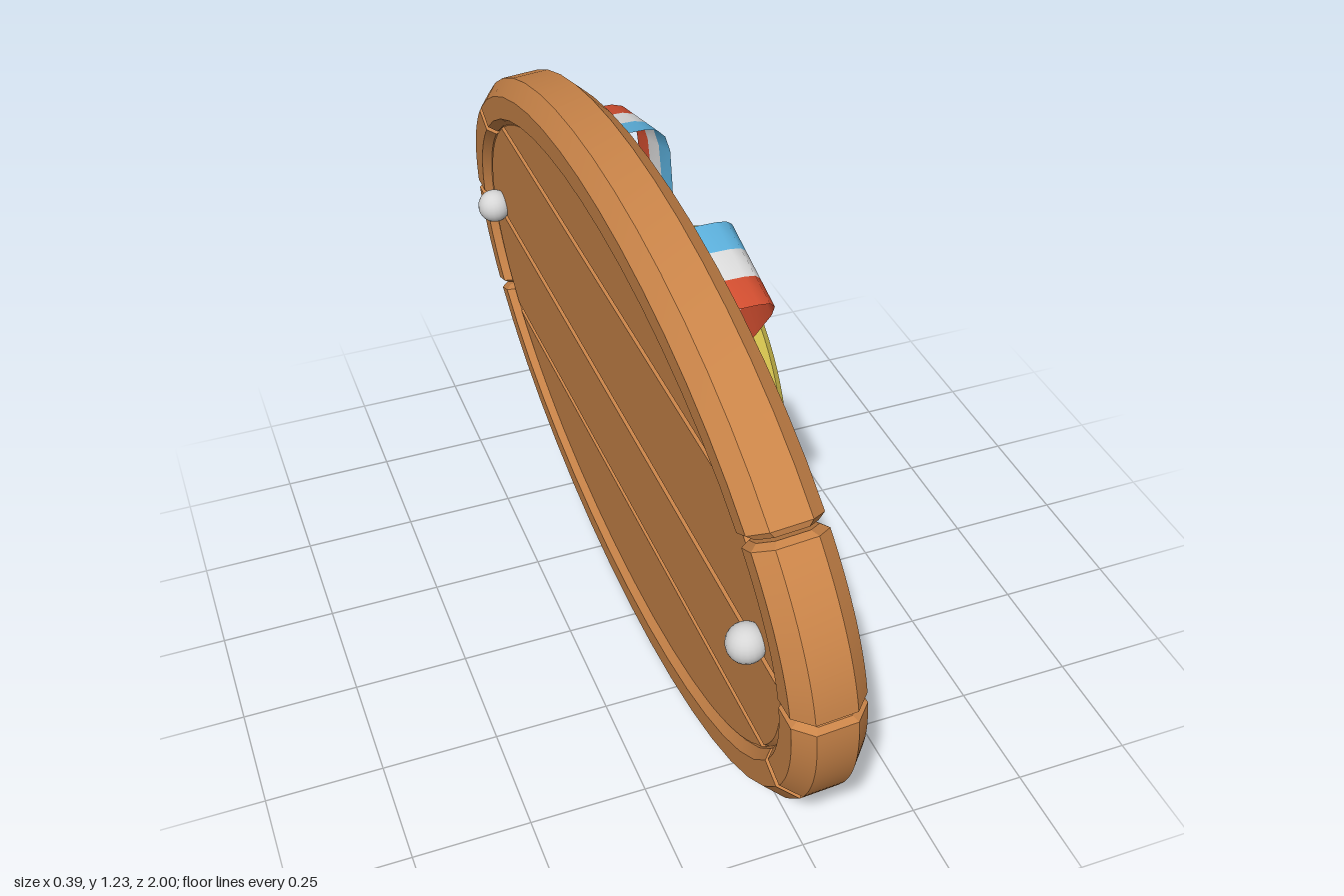
import * as THREE from 'three';
import { toCreasedNormals } from 'three/addons/utils/BufferGeometryUtils.js';

const paint = (name, color, side = THREE.FrontSide) => {
  const m = new THREE.MeshStandardMaterial({ color, side });
  m.name = name;
  return m;
};

export function createModel() {
  const wood = paint('wood', 0xcb8549);
  const gold = paint('gold', 0xd4c24e);
  const tan = paint('tan', 0xcfae68);
  const brown = paint('brown', 0x8a5032);
  const silver = paint('silver', 0xd6d6d6);
  const red = paint('ribbon red', 0xd24e30, THREE.DoubleSide);
  const white = paint('ribbon white', 0xdcdcdc, THREE.DoubleSide);
  const blue = paint('ribbon blue', 0x5cb0dc, THREE.DoubleSide);

  // Everything is built facing +z, then the whole group is turned to face +x
  const model = new THREE.Group();
  model.name = 'medalPlaque';
  const board = new THREE.Group();
  board.name = 'board';
  const medal = new THREE.Group();
  medal.name = 'medal';
  model.add(board, medal);

  const add = (parent, name, geo, mat, x = 0, y = 0, z = 0) => {
    const mesh = new THREE.Mesh(geo, mat);
    mesh.name = name;
    mesh.position.set(x, y, z);
    parent.add(mesh);
    return mesh;
  };
  const fromTriangles = (points, crease = 0.6) => {
    const g = new THREE.BufferGeometry().setFromPoints(points);
    return toCreasedNormals(g, crease);
  };

  // ---- Oval board, leaning back ----
  const CY = 0.618, A = 1, B = 0.615, PA = 0.887, PB = 0.522;
  board.position.set(0, CY, -0.075);
  board.rotation.x = -0.077;
  const seams = [-0.243, 0.025, 0.333];

  // Rim segment: a chamfered section swept along the ellipse, tightened at its ends
  const section = [[0, -0.04], [0, 0.04], [0.035, 0.073], [0.088, 0.073], [0.105, 0.055],
    [0.105, -0.055], [0.088, -0.073], [0.035, -0.073]];
  function rimSegment(t0, t1) {
    const e = 0.004, steps = 16;
    const angles = [[t0 + e, 0.8]];
    for (let i = 0; i <= steps; i++) angles.push([t0 + 0.02 + (t1 - t0 - 0.04) * i / steps, 1]);
    angles.push([t1 - e, 0.8]);
    const rings = angles.map(([t, k]) => section.map(([d, n]) => {
      const dd = 0.052 + (d - 0.052) * k;
      return new THREE.Vector3((A - dd) * Math.cos(t), (B - dd) * Math.sin(t), n * k);
    }));
    const tris = [], S = section.length, last = rings[rings.length - 1];
    for (let i = 0; i < rings.length - 1; i++) for (let j = 0; j < S; j++) {
      const a = rings[i][j], b = rings[i][(j + 1) % S];
      const c = rings[i + 1][j], d = rings[i + 1][(j + 1) % S];
      tris.push(a, c, b, b, c, d);
    }
    for (let j = 1; j < S - 1; j++) {
      tris.push(rings[0][0], rings[0][j], rings[0][j + 1]);
      tris.push(last[0], last[j + 1], last[j]);
    }
    return fromTriangles(tris, 0.4);
  }
  const right = seams.map(y => Math.asin(y / B));
  const cuts = [...right, ...right.map(t => Math.PI - t).reverse()];
  cuts.push(cuts[0] + Math.PI * 2);
  for (let i = 0; i < 6; i++) add(board, 'rimSegment', rimSegment(cuts[i], cuts[i + 1]), wood);

  // Planks with bevelled edges over a thinner core
  const core = new THREE.CylinderGeometry(1, 1, 0.08, 64).rotateX(Math.PI / 2).scale(0.91, 0.545, 1);
  add(board, 'boardCore', core, wood);
  const edges = [-PB, ...seams, PB];
  for (let i = 0; i < 4; i++) {
    const lim = Math.PI / 2 - 0.03;
    const angle = y => Math.max(-lim, Math.min(lim, Math.asin(Math.max(-1, Math.min(1, y / PB)))));
    const t0 = angle(edges[i] + 0.004), t1 = angle(edges[i + 1] - 0.004);
    const side = [];
    for (let k = 0; k <= 16; k++) {
      const t = t0 + (t1 - t0) * k / 16;
      side.push(new THREE.Vector2(PA * Math.cos(t), PB * Math.sin(t)));
    }
    const outline = [...side, ...side.map(p => new THREE.Vector2(-p.x, p.y)).reverse()];
    const geo = new THREE.ExtrudeGeometry(new THREE.Shape(outline), {
      depth: 0.09, bevelThickness: 0.012, bevelSize: 0.007, bevelOffset: -0.007, bevelSegments: 1 });
    add(board, 'plank', geo, wood, 0, 0, -0.045);
  }

  // Round nails on both faces
  for (const x of [-0.79, 0.79]) for (const z of [-0.08, 0.08])
    add(board, 'nail', new THREE.SphereGeometry(0.039, 20, 14), silver, x, 0.06, z);

  // Name plate with two bolts
  const w = 0.41, h = 0.066, r = 0.035;
  const plate = new THREE.Shape();
  plate.moveTo(-w + r, -h).lineTo(w - r, -h).quadraticCurveTo(w, -h, w, -h + r)
    .lineTo(w, h - r).quadraticCurveTo(w, h, w - r, h)
    .lineTo(-w + r, h).quadraticCurveTo(-w, h, -w, h - r)
    .lineTo(-w, -h + r).quadraticCurveTo(-w, -h, -w + r, -h);
  const plateGeo = new THREE.ExtrudeGeometry(plate, {
    depth: 0.06, bevelThickness: 0.01, bevelSize: 0.01, bevelSegments: 2, curveSegments: 6 });
  add(board, 'namePlate', plateGeo, [tan, wood], 0, -0.39, 0.048);
  for (const x of [-0.345, 0.345])
    add(board, 'plateBolt', new THREE.SphereGeometry(0.035, 18, 12), brown, x, -0.39, 0.118);

  // Red cloth behind the ribbon
  const cloth = new THREE.Shape([[-0.1, 0.97], [0.1, 0.97], [0.36, 1.08], [0.19, 1.15], [-0.19, 1.15], [-0.36, 1.08]]
    .map(([x, y]) => new THREE.Vector2(x, y - CY)));
  add(board, 'ribbonBacking', new THREE.ExtrudeGeometry(cloth, { depth: 0.009, bevelEnabled: false }), red, 0, 0, 0.06);

  // ---- Striped ribbon: two mirrored bands folding over at the top ----
  const path = [[0.02, -0.055], [0, -0.03], [0, 0.015], [0.015, 0.038], [0.06, 0.053],
    [0.15, 0.058], [0.35, 0.05], [0.6, 0.038], [1, 0.015]];
  const mix = (a, b, t) => a + (b - a) * t;
  function ribbonStripe(s0, s1, m) {
    const at = (s, [t, z]) => new THREE.Vector3(
      m * mix(mix(0.405, 0.19, s), mix(0.148, 0.02, s), t),
      mix(mix(1.105, 1.155, s), mix(0.72, 0.86, s), t), z);
    const tris = [];
    for (let i = 0; i < path.length - 1; i++) {
      const a = at(s0, path[i]), b = at(s1, path[i]), c = at(s0, path[i + 1]), d = at(s1, path[i + 1]);
      if (m < 0) tris.push(a, c, b, b, c, d);
      else tris.push(a, b, c, b, d, c);
    }
    return fromTriangles(tris, 0.9);
  }
  for (const m of [-1, 1]) [red, white, blue].forEach((mat, i) =>
    add(model, 'ribbonStripe', ribbonStripe(i / 3, (i + 1) / 3, m), mat));

  // ---- Medal ----
  medal.position.y = 0.615;
  const turned = (pts, from = 0, to = 360) => {
    const rad = THREE.MathUtils.degToRad;
    const g = new THREE.LatheGeometry(pts.map(([x, y]) => new THREE.Vector2(x, y)),
      Math.ceil((to - from) / 6), rad(from + 90), rad(to - from));
    return toCreasedNormals(g.rotateX(Math.PI / 2), 0.6);
  };
  add(medal, 'medalBody', turned([[0, 0.035], [0.29, 0.035], [0.308, 0.042], [0.315, 0.058], [0.315, 0.1]]), wood);
  const lip = [[0.315, 0.1], [0.309, 0.125], [0.292, 0.14], [0.27, 0.14], [0.258, 0.128], [0.255, 0.11], [0.245, 0.11]];
  add(medal, 'medalRimUpper', turned(lip, -10, 205), gold);
  add(medal, 'medalRimLower', turned(lip, 205, 350), wood);
  add(medal, 'medalTopBand', turned([[0.317, 0.045], [0.317, 0.102]], 50, 130), gold);
  add(medal, 'medalFace', turned([[0.25, 0.11], [0.24, 0.125], [0, 0.127]]), gold);

  // Raised star, highest at its centre
  const tris = [], top = [], base = [];
  for (let i = 0; i < 10; i++) {
    const a = Math.PI / 2 + i * Math.PI / 5, tip = i % 2 === 0, R = tip ? 0.19 : 0.1;
    top.push(new THREE.Vector3(R * 0.95 * Math.cos(a), R * 0.95 * Math.sin(a), tip ? 0.158 : 0.182));
    base.push(new THREE.Vector3((R + 0.01) * Math.cos(a), (R + 0.01) * Math.sin(a), 0.12));
  }
  const peak = new THREE.Vector3(0, 0, 0.194);
  for (let i = 0; i < 10; i++) {
    const j = (i + 1) % 10;
    tris.push(peak, top[i], top[j], base[i], base[j], top[j], base[i], top[j], top[i]);
  }
  add(medal, 'star', fromTriangles(tris), gold, 0, 0.005, 0);

  // Beads around the star
  for (const [x, y] of [[0, 0.21], [0.13, 0.135], [-0.13, 0.135], [0.178, -0.075], [-0.178, -0.075], [0, -0.185]])
    add(medal, 'bead', new THREE.SphereGeometry(0.021, 14, 10), gold, x, y, 0.142);

  // Hanging loop and the ring threaded through it
  const loop = new THREE.Shape().absellipse(0, 0, 0.048, 0.055, 0, Math.PI * 2);
  loop.holes.push(new THREE.Path().absellipse(0, 0, 0.03, 0.037, 0, Math.PI * 2, true));
  const loopGeo = new THREE.ExtrudeGeometry(loop, {
    depth: 0.04, bevelThickness: 0.006, bevelSize: 0.005, bevelSegments: 2, curveSegments: 16 });
  loopGeo.translate(0, 0, -0.02).rotateY(Math.PI / 2);
  add(model, 'hangingLoop', loopGeo, gold, 0, 0.955, 0.055);
  const ringPath = new THREE.CatmullRomCurve3([[-0.105, 1.05, -0.045], [-0.085, 1.015, -0.005], [-0.045, 0.985, 0.03],
    [0, 0.975, 0.042], [0.045, 0.985, 0.03], [0.085, 1.015, -0.005], [0.105, 1.05, -0.045]]
    .map(p => new THREE.Vector3(...p)));
  add(model, 'hangingRing', new THREE.TubeGeometry(ringPath, 32, 0.013, 10), gold);

  model.rotation.y = Math.PI / 2;
  const root = new THREE.Group();
  root.name = 'plaque';
  root.add(model);
  return root;
}
